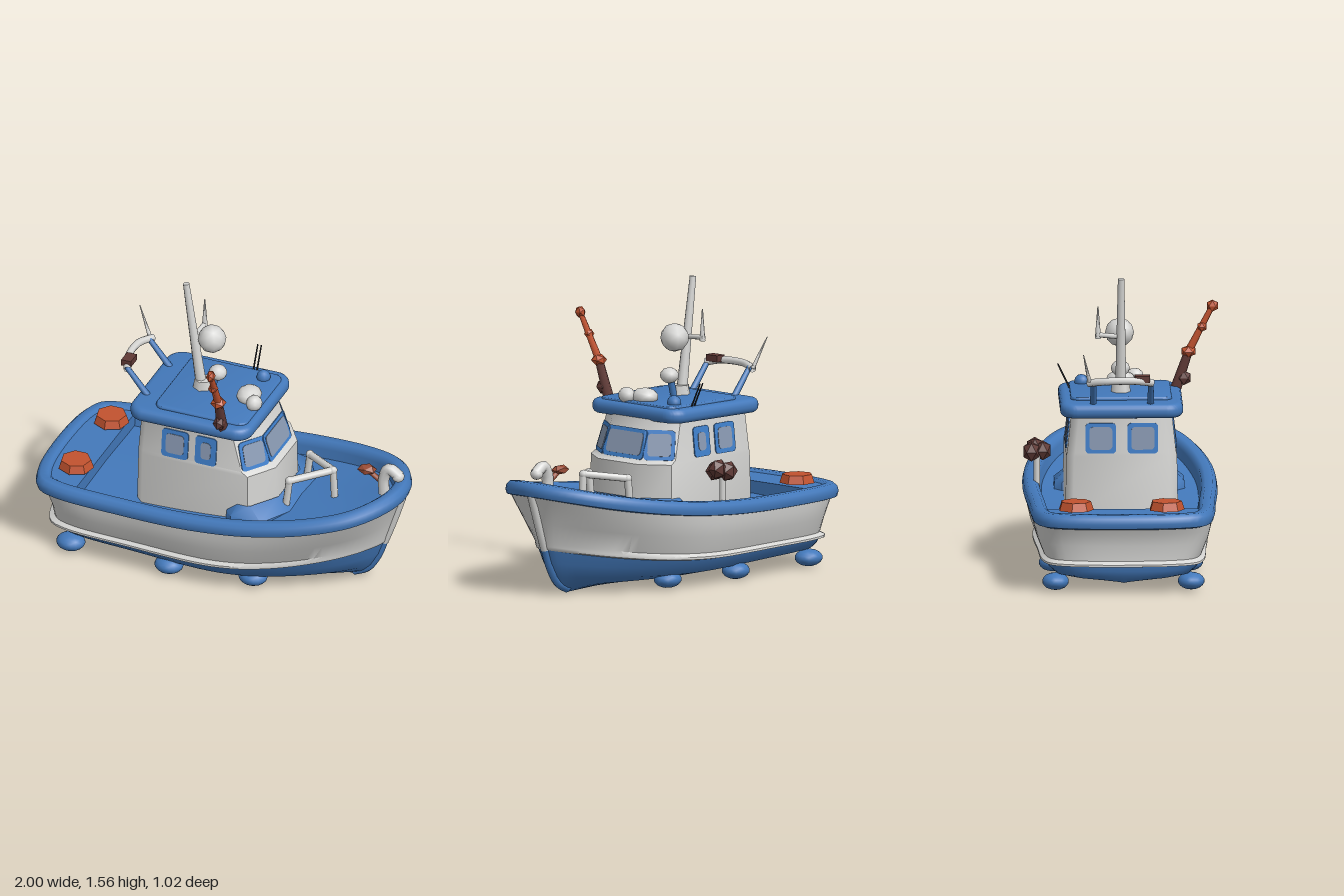
import * as THREE from 'three';
import { toCreasedNormals } from 'three/addons/utils/BufferGeometryUtils.js';

const mat = (name, color, side = THREE.FrontSide) => new THREE.MeshStandardMaterial({ name, color, side });
const V = (x, y, z) => new THREE.Vector3(x, y, z);
const lerp = THREE.MathUtils.lerp;

export function createModel() {
  const boat = new THREE.Group();
  boat.name = 'fishingBoat';
  const blue = mat('blue', 0x4379bb, THREE.DoubleSide);
  const white = mat('white', 0xd6d6d4, THREE.DoubleSide);
  const frameBlue = mat('windowBlue', 0x3f80cc);
  const glass = mat('glass', 0x8a9ab3);
  const orange = mat('orange', 0xc2532f);
  const rust = mat('rust', 0x984b35);
  const maroon = mat('maroon', 0x603a36);
  const black = mat('black', 0x24262a);

  const add = (name, geo, material, parent = boat) => {
    const m = new THREE.Mesh(geo, material);
    m.name = name;
    parent.add(m);
    return m;
  };
  // Skin over closed loops, listed from the bottom up
  const loft = (loops, crease = 0.7) => {
    const n = loops[0].length, index = [];
    for (let i = 0; i < loops.length - 1; i++) for (let j = 0; j < n; j++) {
      const a = i * n + j, b = i * n + (j + 1) % n;
      index.push(a, a + n, b, b, a + n, b + n);
    }
    const g = new THREE.BufferGeometry().setFromPoints(loops.flat());
    g.setIndex(index);
    return toCreasedNormals(g, crease);
  };
  const rod = (name, material, a, b, r1, r2 = r1, sides = 8) => {
    const m = add(name, new THREE.CylinderGeometry(r2, r1, a.distanceTo(b), sides), material);
    m.position.copy(a).add(b).multiplyScalar(0.5);
    m.quaternion.setFromUnitVectors(V(0, 1, 0), b.clone().sub(a).normalize());
    return m;
  };
  const blob = (name, material, p, r, scale = [1, 1, 1], detail = 1) => {
    const m = add(name, new THREE.IcosahedronGeometry(r, detail), material);
    m.position.copy(p);
    m.scale.set(...scale);
    return m;
  };
  const pipe = (name, material, pts, r) =>
    add(name, new THREE.TubeGeometry(new THREE.CatmullRomCurve3(pts), 16, r, 8), material);
  const roundRect = (x0, x1, y0, y1, r) => {
    const s = new THREE.Shape();
    s.absarc(x1 - r, y1 - r, r, 0, Math.PI / 2);
    s.absarc(x0 + r, y1 - r, r, Math.PI / 2, Math.PI);
    s.absarc(x0 + r, y0 + r, r, Math.PI, Math.PI * 1.5);
    s.absarc(x1 - r, y0 + r, r, Math.PI * 1.5, Math.PI * 2);
    return s;
  };
  // Horizontal plate from a plan shape, with its base at y
  const slab = (name, material, shape, y, depth, bevel = 0) => {
    const g = new THREE.ExtrudeGeometry(shape, { depth, bevelEnabled: bevel > 0, bevelSize: bevel,
      bevelThickness: bevel, bevelOffset: -bevel, bevelSegments: 4, curveSegments: 8 });
    g.rotateX(-Math.PI / 2).translate(0, y + bevel, 0);
    return add(name, toCreasedNormals(g, 0.6), material);
  };

  // Plan outline of the gunwale, from the bow round the stern
  const half = [[0.985, 0.1], [0.91, 0.24], [0.8, 0.345], [0.6, 0.435], [0.3, 0.497], [0, 0.51], [-0.4, 0.492],
    [-0.8, 0.467], [-0.92, 0.42], [-0.975, 0.3]];
  const ring = [[1, 0], ...half, [-1, 0], ...half.slice().reverse().map(([x, z]) => [x, -z])];
  const outline = new THREE.CatmullRomCurve3(ring.map(([x, z]) => V(x, 0, z)), true).getSpacedPoints(120).slice(0, 120);
  const railY = x => 0.437 + 0.17 * (Math.max(0, x + 0.5) / 1.47) ** 2;
  const waterY = x => 0.15 + 0.104 * Math.max(0, x + 0.1) ** 2;
  const keelY = x => 0.03 - 0.035 * x;
  const level = (stern, bow, width, sharp, yOf) => outline.map(p => {
    const x = lerp(stern, bow, (p.x + 1) / 2);
    return V(x, Math.max(0, yOf(x)), p.z / 0.51 * width * (1 - sharp * Math.max(0, p.x) ** 2));
  });

  // Hull
  const below = t => x => lerp(keelY(x), waterY(x), t);
  add('hullBottom', loft([
    level(-0.87, 0.72, 0, 0, keelY),
    level(-0.88, 0.77, 0.28, 0.6, below(0.22)),
    level(-0.895, 0.81, 0.385, 0.57, below(0.42)),
    level(-0.905, 0.85, 0.418, 0.54, below(0.72)),
    level(-0.91, 0.875, 0.435, 0.5, waterY),
  ], 1.2), blue);
  const side = t => x => lerp(waterY(x), railY(x) - 0.06, t);
  add('hullSides', loft([
    level(-0.91, 0.875, 0.435, 0.5, waterY),
    level(-0.935, 0.882, 0.458, 0.48, side(0.02)),
    level(-0.935, 0.887, 0.458, 0.47, side(0.07)),
    level(-0.91, 0.892, 0.44, 0.45, side(0.14)),
    level(-0.915, 0.925, 0.474, 0.28, side(0.5)),
    level(-0.935, 0.952, 0.49, 0.14, side(0.78)),
    level(-0.96, 0.98, 0.495, 0.05, side(1)),
  ]), white);
  pipe('stemPost', white, [V(0.868, 0.25, 0), V(0.915, 0.38, 0), V(0.97, 0.55, 0)], 0.026);
  pipe('stemFoot', blue, [V(0.7, 0.024, 0), V(0.77, 0.06, 0), V(0.83, 0.15, 0), V(0.868, 0.25, 0)], 0.024);

  // Gunwale, inner bulwark and sunken deck
  const inset = (d, dy) => outline.map((p, i) => {
    const a = outline[(i + 119) % 120], b = outline[(i + 1) % 120];
    const t = b.clone().sub(a).normalize();
    return V(p.x - t.z * d, railY(p.x) + dy, p.z + t.x * d);
  });
  const rim = inset(0.1, -0.09);
  add('gunwaleAndDeck', loft([
    inset(0.04, -0.08), inset(0.008, -0.07), inset(0, -0.045), inset(0.006, -0.018), inset(0.025, 0),
    inset(0.065, 0), inset(0.085, -0.015), inset(0.09, -0.04), rim,
    ...[0.66, 0.33, 0].map(k => rim.map(p => V(p.x, p.y + 0.012 * (1 - k), p.z * k))),
  ], 0.9), blue);
  const aft = inset(0.08, 0).filter(p => p.x < -0.7);
  slab('aftDeck', blue, new THREE.Shape(aft.map(p => new THREE.Vector2(p.x, -p.z))), 0.35, 0.075);
  for (const z of [-0.25, 0.225]) {
    const cap = add('deckHatch', toCreasedNormals(new THREE.CylinderGeometry(0.08, 0.095, 0.045, 7), 0.3), orange);
    cap.position.set(-0.785, 0.458, z);
  }
  // Rounded feet under the hull
  for (const s of [-1, 1]) for (const [x, z] of [[-0.76, 0.355], [-0.2, 0.36], [0.25, 0.295]])
    blob('hullFoot', blue, V(x, 0.052, s * z), 0.078, [1, 0.58, 0.9], 2);

  // Cabin, with a low sloping trunk before it
  const cabinLoop = (back, front, w, y) => {
    const r = [[front, w / 2], [front - 0.1, w], [back + 0.04, w], [back, w - 0.04]];
    return [...r, ...r.slice().reverse().map(([x, z]) => [x, -z])].map(([x, z]) => V(x, y, z));
  };
  const low = cabinLoop(-0.42, 0.28, 0.285, 0.67), high = cabinLoop(-0.41, 0.215, 0.262, 0.88);
  add('cabin', loft([cabinLoop(-0.425, 0.32, 0.295, 0.34), cabinLoop(-0.42, 0.315, 0.29, 0.65), low, high], 0.9), white);
  add('cabinTrunk', loft([cabinLoop(0.1, 0.42, 0.345, 0.34), cabinLoop(0.1, 0.41, 0.34, 0.42),
    cabinLoop(0.12, 0.33, 0.29, 0.475)]), blue);

  // Windows: thin plates lying on the upper cabin faces
  const addWindow = (i, u, w, border = 0.02, h = 0.16) => {
    const k = (i + 1) % 8;
    const base = low[i].clone().lerp(low[k], 0.5), top = high[i].clone().lerp(high[k], 0.5);
    const X = low[i].clone().sub(low[k]).normalize();
    const N = X.clone().cross(top.sub(base)).normalize();
    const Y = N.clone().cross(X);
    const plate = (name, material, cut, depth) => {
      const s = roundRect(cut - w / 2, w / 2 - cut, cut - h / 2, h / 2 - cut, 0.02);
      const m = add(name, new THREE.ExtrudeGeometry(s, { depth, bevelEnabled: false, curveSegments: 4 }), material);
      m.applyMatrix4(new THREE.Matrix4().makeBasis(X, Y, N)
        .setPosition(base.clone().addScaledVector(X, u).addScaledVector(Y, 0.078)));
    };
    plate('windowFrame', frameBlue, 0, 0.006);
    plate('windowPane', glass, border, 0.009);
  };
  addWindow(7, 0, 0.285);
  addWindow(0, 0, 0.165);
  addWindow(6, 0, 0.165);
  for (const [i, s] of [[1, 1], [5, -1]]) {
    addWindow(i, s * -0.1, 0.15, 0.024);
    addWindow(i, s * 0.075, 0.12, 0.032);
  }
  for (const u of [-0.11, 0.11]) addWindow(3, u, 0.16);

  // Roof
  const roof = slab('roof', blue, roundRect(-0.455, 0.235, -0.322, 0.322, 0.09), 0.862, 0.012, 0.032);
  roof.rotation.z = 0.012;
  slab('roofPanel', blue, roundRect(-0.33, 0.19, -0.265, 0.265, 0.05), 0.927, 0.004, 0.01);
  blob('roofVent', blue, V(0.1, 0.96, -0.2), 0.038);

  // Mast with radar domes
  rod('mastBase', white, V(-0.16, 0.93, 0), V(-0.16, 1.0, 0), 0.055, 0.045, 6);
  rod('mast', white, V(-0.17, 0.97, 0), V(-0.255, 1.565, 0), 0.029, 0.017, 10);
  blob('radarDome', white, V(-0.11, 1.257, -0.005), 0.076);
  rod('radarArm', white, V(-0.21, 1.25, 0), V(-0.2, 1.26, -0.13), 0.013);
  rod('whipAntenna', white, V(-0.2, 1.24, -0.12), V(-0.2, 1.41, -0.12), 0.016, 0.003, 6);
  blob('lowerDome', white, V(-0.075, 1.06, 0), 0.05, [1, 0.85, 1]);
  rod('lowerDomeStand', blue, V(-0.11, 0.94, 0), V(-0.085, 1.04, 0), 0.018);
  blob('roofDome', white, V(0.105, 0.97, 0.005), 0.066, [1, 0.7, 1.15]);
  blob('searchlight', white, V(0.165, 0.975, 0.08), 0.048, [0.9, 0.9, 1]);
  for (const x of [0.015, 0.035])
    rod('wireAntenna', black, V(x, 0.93, -0.26), V(x, 1.065, -0.325), 0.005, 0.004, 5);

  // Light arch at the back of the roof
  for (const z of [-0.15, 0.15]) rod('archLeg', blue, V(-0.4, 0.91, z), V(-0.53, 1.07, z), 0.018, 0.014);
  pipe('archBar', white, [V(-0.52, 1.06, 0.16), V(-0.555, 1.075, 0.08), V(-0.56, 1.075, -0.08), V(-0.52, 1.06, -0.18)], 0.02);
  add('archLamp', new THREE.BoxGeometry(0.055, 0.035, 0.08), maroon).position.set(-0.535, 1.085, 0.105);
  rod('archAntenna', white, V(-0.53, 1.06, -0.17), V(-0.605, 1.225, -0.205), 0.012, 0.002, 6);

  // Jointed crane arm
  const joints = [V(0.075, 0.9, 0.285), V(0.08, 1.12, 0.36), V(0.08, 1.25, 0.43), V(0.09, 1.36, 0.485)];
  rod('craneBase', maroon, joints[0], joints[1], 0.03, 0.022, 6);
  blob('craneMotor', maroon, V(0.075, 0.98, 0.335), 0.042, [0.8, 1, 1], 0);
  rod('craneArm', orange, joints[1], joints[3], 0.021, 0.014, 6);
  blob('craneElbow', orange, joints[1], 0.043, [1, 0.75, 1], 0);
  blob('craneWrist', orange, joints[2], 0.028, [1, 1, 1], 0);
  blob('craneTip', orange, joints[3], 0.034, [0.7, 1, 1], 0);

  // Winch on the right rail
  rod('winchPost', white, V(-0.02, 0.42, -0.435), V(-0.02, 0.59, -0.435), 0.017);
  for (const [x, y, z] of [[0.005, 0.61, -0.405], [0.025, 0.625, -0.445], [-0.03, 0.61, -0.465]])
    blob('winchDrum', maroon, V(x, y, z), 0.056, [1, 1, 0.85], 0);

  // Bow rail, anchor roller and its capped side arm
  const corner = V(0.58, 0.615, 0);
  rod('bowRailLeg', white, corner, V(0.59, 0.42, 0), 0.02);
  for (const s of [-1, 1]) {
    const end = V(0.39, 0.585, s * 0.14);
    rod('bowRailBar', white, end, corner, 0.02);
    rod('bowRailLeg', white, end, V(0.37, 0.42, s * 0.14), 0.02);
    blob('bowRailJoint', white, end, 0.023);
  }
  blob('bowRailJoint', white, corner, 0.023);
  blob('bollardCap', rust, V(0.768, 0.662, -0.01), 0.055, [1, 0.5, 0.75], 0);
  rod('bollardArm', rust, V(0.78, 0.655, -0.01), V(0.86, 0.6, -0.01), 0.014);
  pipe('anchorRoller', white, [V(0.865, 0.54, -0.01), V(0.865, 0.64, -0.01), V(0.895, 0.695, -0.01), V(0.955, 0.66, -0.01)], 0.031);
  blob('rollerEnd', white, V(0.945, 0.66, -0.01), 0.034, [1, 0.9, 1]);

  return boat;
}
